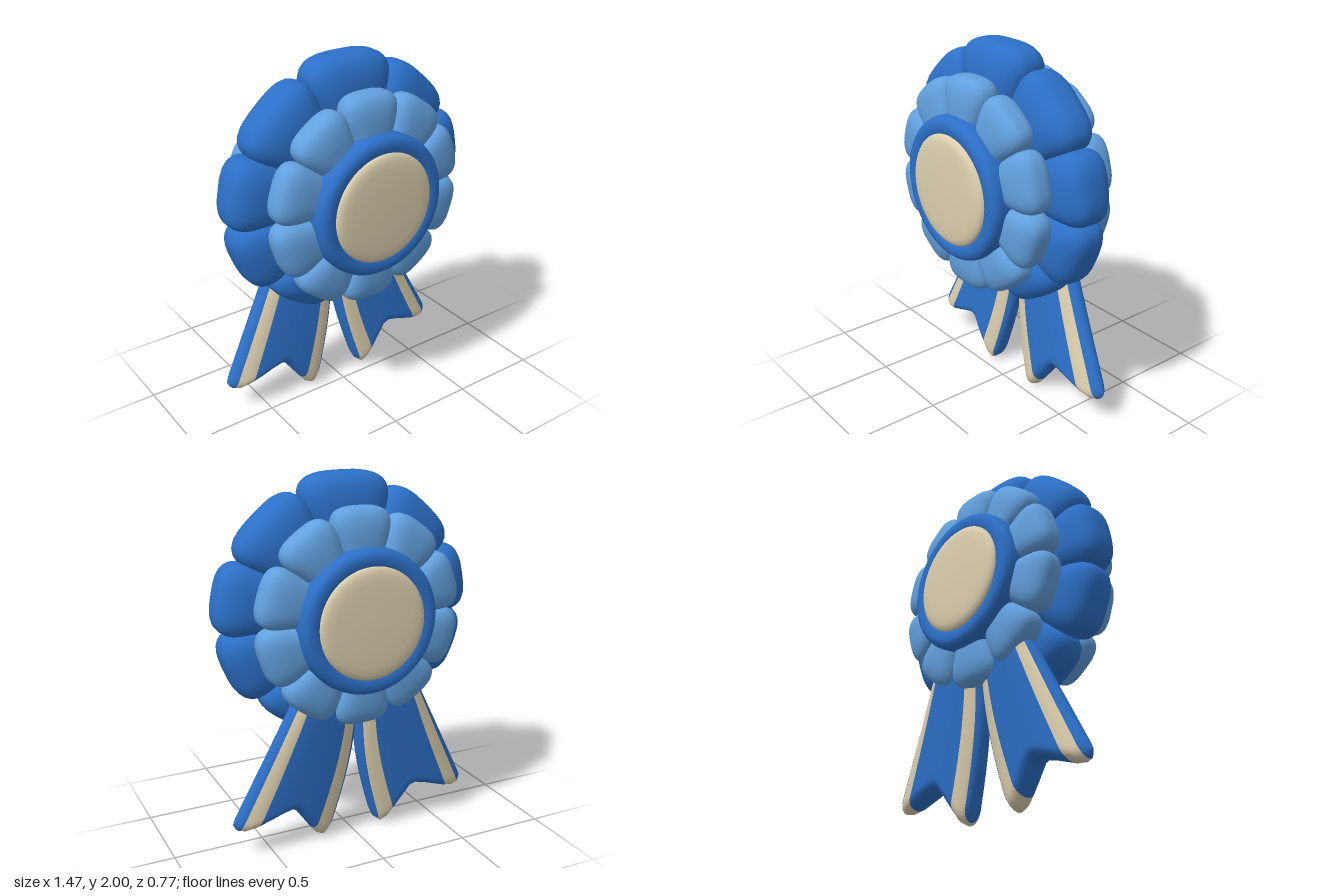
import * as THREE from 'three';
import { mergeVertices } from 'three/addons/utils/BufferGeometryUtils.js';

const mat = (name, color) => Object.assign(new THREE.MeshStandardMaterial({ color }), { name });
const CENTER_Y = 1.265;

// Pillow-shaped petal pointing up (+y), widening with its distance from the origin
function petalGeometry(inner, outer, halfAngle, halfDepth) {
  const sphere = new THREE.SphereGeometry(1, 36, 28);
  sphere.deleteAttribute('uv');
  sphere.deleteAttribute('normal');
  const geo = mergeVertices(sphere, 1e-4);
  const p = geo.attributes.position;
  const v = new THREE.Vector3();
  const spread = Math.tan(THREE.MathUtils.degToRad(halfAngle)) * 1.05;
  const n = 3;
  for (let i = 0; i < p.count; i++) {
    v.fromBufferAttribute(p, i);
    v.divideScalar((Math.abs(v.x) ** n + Math.abs(v.y) ** n + Math.abs(v.z) ** n) ** (1 / n));
    const r = (inner + outer) / 2 + v.y * (outer - inner) / 2;
    p.setXYZ(i, v.x * r * spread, r, v.z * halfDepth);
  }
  geo.computeVertexNormals();
  return geo;
}

// Turned part around the z axis, profile given as [radius, z]
function turned(name, profile, material) {
  const geo = new THREE.LatheGeometry(profile.map(([r, z]) => new THREE.Vector2(r, z)), 64);
  geo.rotateX(Math.PI / 2);
  const mesh = new THREE.Mesh(geo, material);
  mesh.name = name;
  return mesh;
}

// Lower edge of a ribbon tail: [position across, x, y]
const HEM = [
  [0, 0.125, 0.09], [0.035, 0.15, 0.03], [0.1, 0.185, 0], [0.17, 0.22, 0.02],
  [0.22, 0.25, 0.06], [0.45, 0.35, 0.2], [0.52, 0.39, 0.213], [0.62, 0.46, 0.195],
  [0.82, 0.59, 0.15], [0.9, 0.65, 0.14], [0.96, 0.69, 0.15], [1, 0.71, 0.19],
];
function hemAt(s) {
  const i = Math.max(1, HEM.findIndex((h) => h[0] >= s));
  const [a, b] = [HEM[i - 1], HEM[i]];
  const k = (s - a[0]) / (b[0] - a[0]);
  return [a[1] + (b[1] - a[1]) * k, a[2] + (b[2] - a[2]) * k];
}

// Quarter-round falloff towards the ends, and a padded bulge across the width
const roundEnd = (d, r) => (d >= r ? 1 : Math.sqrt(Math.max(0, 1 - (1 - d / r) ** 2)));
const bulge = (s) => Math.max(0, 1 - Math.abs(2 * s - 1) ** 3.5) ** 0.45;

// Padded swallow-tail ribbon with two stripes; material 0 is the body, 1 the stripes
function ribbonGeometry(side) {
  const across = [0, 0.004, 0.015, 0.035, 0.07, 0.1, 0.14, 0.17, 0.22, 0.32, 0.4, 0.45, 0.52,
    0.57, 0.62, 0.72, 0.82, 0.86, 0.9, 0.95, 0.97, 0.985, 0.996, 1];
  const rows = 26;
  const positions = [];
  const faces = [[], []];
  for (const face of [1, -1]) {
    const base = positions.length / 3;
    for (const s of across) {
      const [hx, hy] = hemAt(s);
      for (let j = 0; j <= rows; j++) {
        const t = Math.sin((j / rows) * Math.PI / 2);
        const topX = 0.005 + 0.285 * s;
        const x = topX + (hx - topX) * t - 0.055 * Math.sin(Math.PI * t) * (1 - s);
        const y = 1 + (hy - 1) * t;
        const h = 0.078 * bulge(s) * roundEnd(Math.min(t, 1 - t), 0.07);
        positions.push(side * x, y, -0.093 - 0.075 * y - 0.02 * s + face * h);
      }
    }
    for (let i = 0; i < across.length - 1; i++) {
      const mid = (across[i] + across[i + 1]) / 2;
      const striped = (mid > 0.07 && mid < 0.22) || (mid > 0.82 && mid < 0.95);
      for (let j = 0; j < rows; j++) {
        const a = base + i * (rows + 1) + j;
        const [b, c, d] = [a + 1, a + rows + 1, a + rows + 2];
        faces[striped ? 1 : 0].push(...(face * side > 0 ? [a, b, c, c, b, d] : [a, c, b, c, d, b]));
      }
    }
  }
  let geo = new THREE.BufferGeometry();
  geo.setAttribute('position', new THREE.Float32BufferAttribute(positions, 3));
  geo.setIndex([...faces[0], ...faces[1]]);
  geo = mergeVertices(geo, 1e-5);
  geo.clearGroups();
  geo.addGroup(0, faces[0].length, 0);
  geo.addGroup(faces[0].length, faces[1].length, 1);
  geo.computeVertexNormals();
  return geo;
}

export function createModel() {
  const blue = mat('royal blue', 0x2c70c8);
  const lightBlue = mat('light blue', 0x62a0de);
  const cream = mat('cream', 0xdccfae);
  const model = new THREE.Group();
  model.name = 'awardRosette';

  const rosette = new THREE.Group();
  rosette.name = 'rosette';
  rosette.position.y = CENTER_Y;
  model.add(rosette);

  const addPetal = (name, geo, degrees, z, material) => {
    const petal = new THREE.Mesh(geo, material);
    petal.name = name;
    petal.rotation.z = THREE.MathUtils.degToRad(degrees);
    petal.position.z = z;
    rosette.add(petal);
  };

  // Large outer petals: [angle from top, half angle, radius], mirrored
  const outer = [[0, 22, 0.735], [42, 21, 0.72], [79, 17.5, 0.735], [112, 18, 0.725], [148, 19.5, 0.68]];
  for (const [angle, half, radius] of outer) {
    const geo = petalGeometry(0.18, radius, half, 0.15);
    addPetal('outerPetal', geo, angle, 0, blue);
    if (angle) addPetal('outerPetal', geo, -angle, 0, blue);
  }

  // Small petals, one ring on the front and one on the back
  const small = petalGeometry(0.18, 0.58, 18, 0.1);
  for (const z of [0.2, -0.2]) {
    for (let i = 0; i < 10; i++) addPetal('innerPetal', small, i * 36, z, lightBlue);
  }

  // Core behind the petals, then the rounded button with a cream face on each side
  rosette.add(turned('core', [[0, -0.1], [0.48, -0.1], [0.5, 0], [0.48, 0.1], [0, 0.1]], blue));
  const rim = [[0.386, 0.26], [0.386, 0.31], [0.38, 0.335], [0.366, 0.353], [0.345, 0.36],
    [0.32, 0.36], [0.3, 0.354], [0.28, 0.345], [0, 0.345]];
  const mirrored = rim.map(([r, z]) => [r, -z]).reverse();
  rosette.add(turned('buttonRim', [...mirrored, ...rim], blue));
  const dome = [[0.3, 0.34], [0.297, 0.358], [0.285, 0.37], [0.262, 0.378], [0.22, 0.383], [0.12, 0.386], [0, 0.387]];
  rosette.add(turned('frontButtonFace', dome, cream));
  const back = turned('backButtonFace', dome, cream);
  back.rotation.y = Math.PI;
  rosette.add(back);

  // Two striped ribbon tails
  for (const [name, side] of [['leftRibbon', 1], ['rightRibbon', -1]]) {
    const ribbon = new THREE.Mesh(ribbonGeometry(side), [blue, cream]);
    ribbon.name = name;
    model.add(ribbon);
  }
  return model;
}
